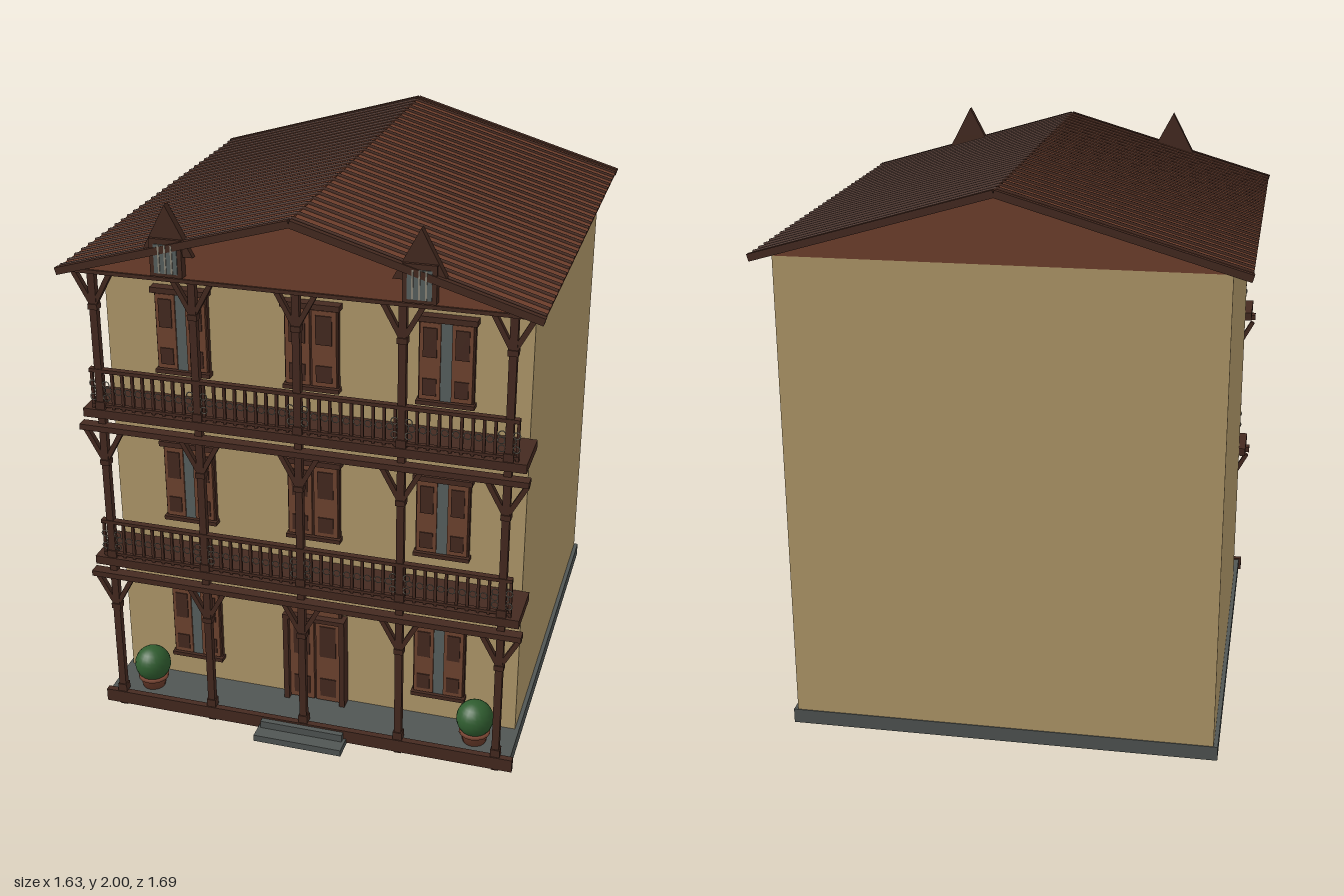
import * as THREE from 'three';

const mat = (name, color) => {
  const m = new THREE.MeshStandardMaterial({ color });
  m.name = name;
  return m;
};

export function createModel() {
  const wall = mat('ochre plaster', 0xb39a6b);
  const wood = mat('dark wood', 0x452a20);
  const tile = mat('rust tile', 0x71402d);
  const panel = mat('rust wood', 0x704430);
  const stone = mat('grey stone', 0x505553);
  const glass = mat('grey glass', 0x596160);
  const iron = mat('pale iron', 0x8c877a);
  const leaf = mat('leaf green', 0x2f5c2f);
  const clay = mat('clay', 0x74412f);

  const root = new THREE.Group();
  root.name = 'balconyHouse';

  const add = (parent, name, geo, material, x = 0, y = 0, z = 0) => {
    const m = new THREE.Mesh(geo, material);
    m.name = name;
    m.position.set(x, y, z);
    parent.add(m);
    return m;
  };
  // box given by its limits on each axis
  const box = (parent, name, material, x0, x1, y0, y1, z0, z1) =>
    add(parent, name, new THREE.BoxGeometry(x1 - x0, y1 - y0, z1 - z0), material,
      (x0 + x1) / 2, (y0 + y1) / 2, (z0 + z1) / 2);
  // square bar between two points in an xy plane
  const bar = (parent, name, material, x0, y0, x1, y1, z, t, depth) => {
    const len = Math.hypot(x1 - x0, y1 - y0);
    const m = add(parent, name, new THREE.BoxGeometry(len, t, depth), material,
      (x0 + x1) / 2, (y0 + y1) / 2, z);
    m.rotation.z = Math.atan2(y1 - y0, x1 - x0);
    return m;
  };
  const prism = (parent, name, material, pts, z0, z1) => {
    const shape = new THREE.Shape(pts.map(p => new THREE.Vector2(...p)));
    const geo = new THREE.ExtrudeGeometry(shape, { depth: z1 - z0, bevelEnabled: false });
    return add(parent, name, geo, material, 0, 0, z0);
  };
  const group = (name, x = 0, y = 0, z = 0) => {
    const g = new THREE.Group();
    g.name = name;
    g.position.set(x, y, z);
    root.add(g);
    return g;
  };

  // body, plinth and entrance steps
  box(root, 'walls', wall, -0.75, 0.75, 0, 1.742, -0.79, 0.59);
  box(root, 'plinth', stone, -0.765, 0.765, 0.002, 0.055, -0.793, 0.765);
  box(root, 'porchEdge', wood, -0.775, 0.775, 0.01, 0.06, 0.757, 0.78);
  box(root, 'upperStep', stone, -0.155, 0.155, 0.02, 0.053, 0.7, 0.8);
  box(root, 'lowerStep', stone, -0.165, 0.165, 0, 0.025, 0.7, 0.85);

  // roof: gable block, slabs, ribs and barge boards
  const roof = group('roof');
  prism(roof, 'gable', tile, [[-0.77, 1.74], [0.77, 1.74], [0, 1.975]], -0.792, 0.785);
  box(roof, 'gableBeam', wood, -0.77, 0.77, 1.735, 1.748, 0.775, 0.792);
  for (const s of [-1, 1]) {
    bar(roof, 'roofSlab', tile, s * 0.81, 1.741, 0, 1.977, -0.01, 0.018, 1.64);
    for (const z of [-0.833, 0.81])
      bar(roof, 'bargeBoard', wood, s * 0.813, 1.742, 0, 1.979, z, 0.025, 0.022);
    for (let i = 0; i < 30; i++) {
      const z = -0.79 + i * 0.0542;
      const rib = add(roof, 'roofRib', new THREE.CylinderGeometry(0.0075, 0.0075, 0.846, 6), wood,
        s * 0.405, 1.868, z);
      rib.rotation.z = s * (Math.PI / 2 - 0.284);
    }
  }

  // small gabled dormers on the front edge
  for (const s of [-1, 1]) {
    const d = group('dormer', s * 0.42, 0, 0);
    prism(d, 'dormerPeak', wood, [[-0.09, 1.83], [0.09, 1.83], [0, 2]], 0.775, 0.805);
    box(d, 'dormerFrame', wood, -0.055, 0.055, 1.76, 1.888, 0.775, 0.816);
    box(d, 'dormerGlass', glass, -0.04, 0.04, 1.772, 1.87, 0.816, 0.819);
    for (const x of [-0.022, 0, 0.022])
      box(d, 'dormerBar', iron, x - 0.003, x + 0.003, 1.772, 1.87, 0.818, 0.822);
  }

  // posts with their angled braces on three storeys
  const posts = [-0.712, -0.356, 0, 0.356, 0.712];
  for (const x of posts) {
    const p = group('post', x, 0, 0.76);
    box(p, 'postShaft', wood, -0.013, 0.013, 0, 1.745, -0.012, 0.012);
    for (const top of [0.555, 1.145, 1.73]) {
      for (const s of [-1, 1])
        bar(p, 'brace', wood, 0, top - 0.12, s * 0.065, top, 0, 0.017, 0.02);
      box(p, 'postCollar', wood, -0.017, 0.017, top - 0.13, top - 0.11, -0.016, 0.016);
    }
    for (const y of [0.06, 0.64, 1.23])
      box(p, 'postFoot', wood, -0.017, 0.017, y, y + 0.03, -0.016, 0.016);
  }

  // balconies: deck, beam, rails, balusters and iron scrolls
  const ring = new THREE.TorusGeometry(0.012, 0.002, 4, 10);
  for (const y of [0.61, 1.2]) {
    const b = group('balcony', 0, y, 0);
    box(b, 'deck', wood, -0.775, 0.775, 0, 0.032, 0.59, 0.78);
    box(b, 'lowerBeam', wood, -0.787, 0.787, -0.045, -0.024, 0.755, 0.795);
    box(b, 'topRail', wood, -0.745, 0.745, 0.17, 0.183, 0.752, 0.775);
    box(b, 'bottomRail', wood, -0.745, 0.745, 0.04, 0.05, 0.755, 0.77);
    for (let i = 0; i <= 40; i++) {
      const x = -0.74 + i * 0.037;
      box(b, 'baluster', wood, x - 0.005, x + 0.005, 0.03, 0.172, 0.757, 0.767);
      if (i < 40) add(b, 'ironRing', ring, iron, x + 0.0185, 0.1, 0.762);
    }
    for (const x of posts) for (const s of [-1, 1]) for (const v of [-1, 1])
      add(b, 'ironScroll', ring, iron, x + s * 0.024, 0.1 + v * 0.025, 0.768);
  }

  // one panelled leaf, used for shutters and door
  const leafPanel = (parent, name, x0, x1, y0, y1, z) => {
    const h = y1 - y0, inset = (x1 - x0) * 0.17;
    box(parent, name, panel, x0, x1, y0, y1, 0, z);
    for (const [a, c] of [[0.06, 0.28], [0.56, 0.94]])
      box(parent, name + 'Panel', wood, x0 + inset, x1 - inset, y0 + a * h, y0 + c * h, z - 0.002, z + 0.004);
  };

  // shuttered windows; outer columns stand ajar and show glass
  const windowAt = (x, y, gap) => {
    const w = group('window', x, y, 0.59);
    box(w, 'windowFrame', wood, -0.095, 0.095, 0, 0.305, -0.01, 0.018);
    box(w, 'windowHead', wood, -0.104, 0.104, 0.295, 0.315, -0.01, 0.038);
    box(w, 'windowSill', wood, -0.1, 0.1, -0.003, 0.012, -0.01, 0.035);
    if (gap > 0.01) box(w, 'windowGlass', glass, -gap, gap, 0.012, 0.295, 0.016, 0.022);
    for (const s of [-1, 1]) {
      const a = s * gap, c = s * 0.09;
      leafPanel(w, 'shutter', Math.min(a, c), Math.max(a, c), 0.016, 0.29, 0.028);
    }
  };
  for (const y of [0.157, 0.745, 1.328])
    for (const x of [-0.465, 0, 0.465])
      if (x !== 0 || y > 0.5) windowAt(x, y, x === 0 ? 0.004 : 0.019);

  // front door with transom
  const door = group('door', 0, 0.055, 0.59);
  box(door, 'doorBack', wood, -0.1, 0.1, 0, 0.41, -0.01, 0.018);
  box(door, 'doorHead', wood, -0.104, 0.104, 0.4, 0.417, -0.01, 0.038);
  box(door, 'transom', panel, -0.09, 0.09, 0.37, 0.4, 0, 0.026);
  box(door, 'doorLintel', wood, -0.117, 0.117, 0.352, 0.368, -0.01, 0.05);
  for (const s of [-1, 1]) {
    box(door, 'doorJamb', wood, s * 0.107 - 0.01, s * 0.107 + 0.01, 0, 0.36, -0.01, 0.048);
    leafPanel(door, 'doorLeaf', s * 0.05 - 0.046, s * 0.05 + 0.046, 0.005, 0.35, 0.03);
  }

  // potted round shrubs
  const pot = [[0, 0], [0.042, 0], [0.052, 0.038], [0.057, 0.038], [0.057, 0.05], [0, 0.05]]
    .map(p => new THREE.Vector2(...p));
  for (const s of [-1, 1]) {
    const g = group('pottedShrub', s * 0.62, 0.055, 0.69);
    add(g, 'pot', new THREE.LatheGeometry(pot, 16), clay);
    add(g, 'shrub', new THREE.SphereGeometry(0.067, 20, 14), leaf, 0, 0.095, 0);
  }
  return root;
}
